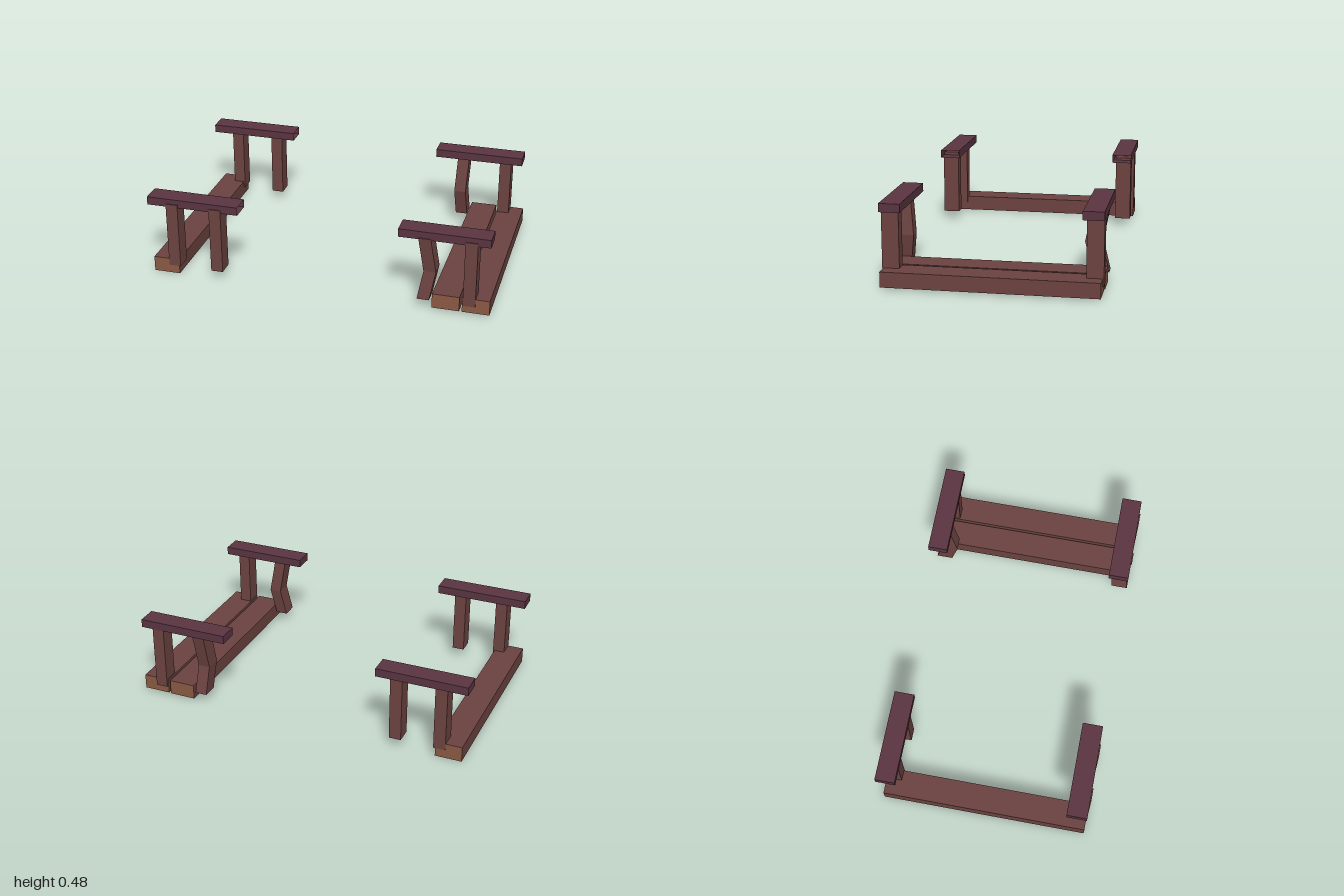
import * as THREE from 'three';

const mat = (name, color, side = THREE.FrontSide) => {
  const m = new THREE.MeshStandardMaterial({ color, side });
  m.name = name;
  return m;
};

export function createModel() {
  const model = new THREE.Group();
  const wood = mat('brown wood', 0x6c4341);
  const endGrain = mat('end grain', 0x8a5a44);
  const railWood = mat('dark plum wood', 0x5a3541, THREE.DoubleSide);

  // Box given by its limits on each axis
  const block = (name, [x0, x1], [y0, y1], [z0, z1], material, segY = 1) => {
    const geo = new THREE.BoxGeometry(x1 - x0, y1 - y0, z1 - z0, 1, segY, 1);
    const mesh = new THREE.Mesh(geo, material);
    mesh.name = name;
    mesh.position.set((x0 + x1) / 2, (y0 + y1) / 2, (z0 + z1) / 2);
    model.add(mesh);
    return mesh;
  };

  // Long floor planks with lighter end grain at both ends
  const plankMats = [wood, wood, wood, wood, endGrain, endGrain];
  block('rightPlank', [-0.98, -0.825], [0, 0.09], [-0.6, 0.6], plankMats);
  block('leftInnerPlank', [0.675, 0.83], [0.01, 0.097], [-0.6, 0.6], plankMats);
  block('leftOuterPlank', [0.845, 1], [0.01, 0.097], [-0.597, 0.6], plankMats);

  // Short top rails; those on the right are hollow at their inner end
  const rails = [
    ['rightFrontRail', [-1, -0.455], [0.426, 0.474], [0.483, 0.6], true],
    ['rightBackRail', [-1, -0.47], [0.43, 0.478], [-0.61, -0.495], true],
    ['leftFrontRail', [0.475, 0.99], [0.426, 0.474], [0.483, 0.6], false],
    ['leftBackRail', [0.455, 0.987], [0.43, 0.478], [-0.61, -0.495], false],
  ];
  for (const [name, x, y, z, open] of rails) {
    const rail = block(name, x, y, z, railWood);
    if (open) {
      const index = Array.from(rail.geometry.index.array);
      rail.geometry.setIndex(index.slice(6));
      rail.geometry.clearGroups();
    }
  }

  // Straight and bent legs at the front and the back
  const ends = [['Front', [0.51, 0.606]], ['Back', [-0.604, -0.51]]];
  for (const [end, z] of ends) {
    block(`rightOuter${end}Leg`, [-0.885, -0.815], [0.052, 0.445], z, wood);
    block(`rightInner${end}Leg`, [-0.625, -0.555], [0.052, 0.445], z, wood);
    block(`leftOuter${end}Leg`, [0.85, 0.92], [0.052, 0.445], z, wood);

    const leg = block(`leftBent${end}Leg`, [0.59, 0.66], [0.057, 0.435], z, wood, 2);
    const front = end === 'Front';
    const p = leg.geometry.attributes.position;
    for (let i = 0; i < p.count; i++) {
      if (Math.abs(p.getY(i)) > 0.01) continue;
      // Push the middle ring sideways and inward
      p.setXYZ(i, p.getX(i) + (front ? 0.03 : -0.008), -0.022, p.getZ(i) + (front ? -0.022 : 0.042));
    }
    leg.geometry = leg.geometry.toNonIndexed();
    leg.geometry.computeVertexNormals();
  }
  return model;
}
